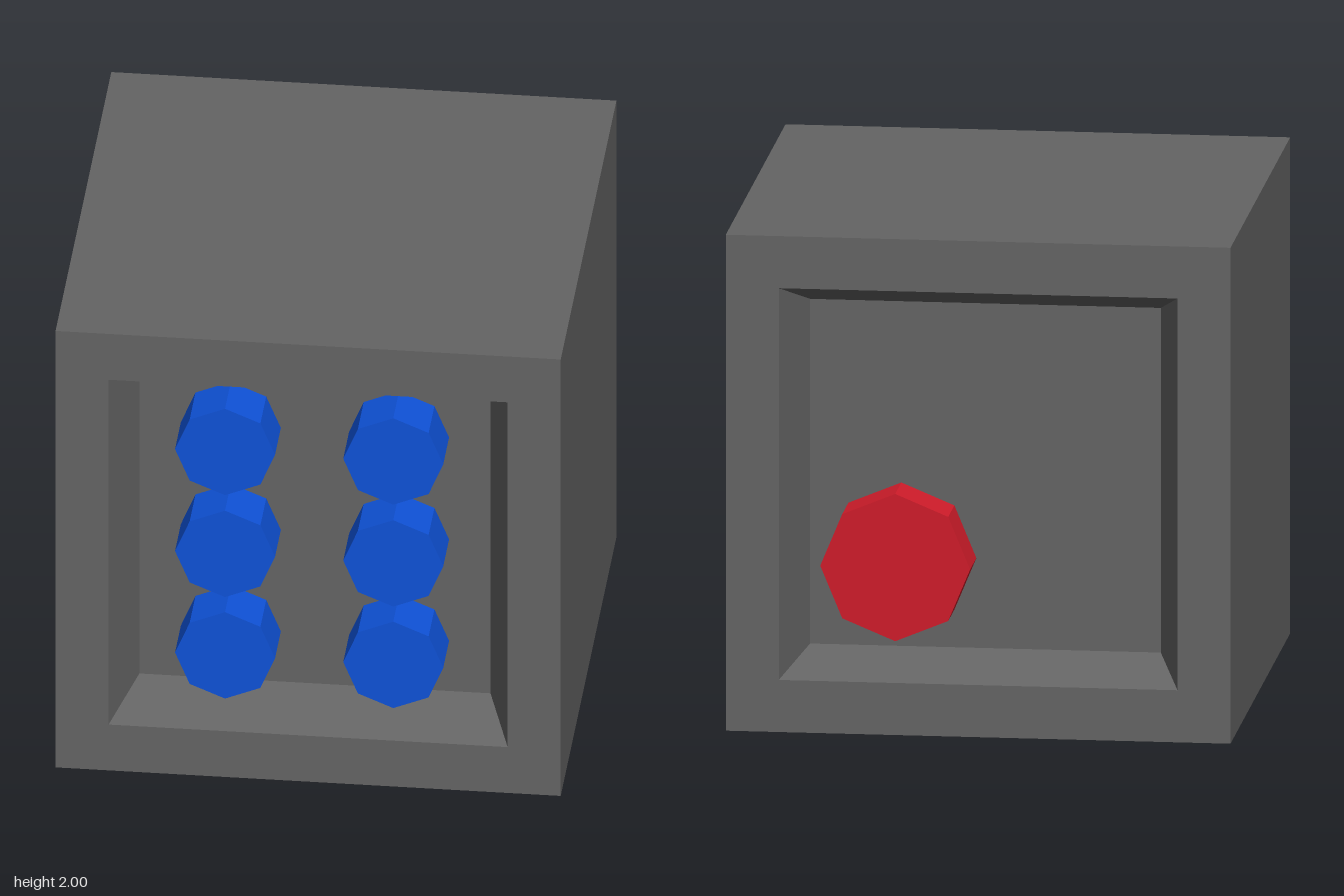
import * as THREE from 'three';

const FLOOR = 0.755; // distance of the recess floors from the centre
const FACE = 0.963;  // distance of the button faces from the centre

const paint = (color) => new THREE.MeshStandardMaterial({ color, flatShading: true });

// Square-section solid along z: each point is [half width, z], listed from back to front
function squareLoft(points) {
  const profile = points.map(([half, z]) => new THREE.Vector2(half * Math.SQRT2, z));
  return new THREE.LatheGeometry(profile, 4, Math.PI / 4).rotateX(Math.PI / 2);
}

// Octagonal button standing on a recess floor; side is 1 for front, -1 for back
function makeButton(name, radius, x, y, side, material) {
  const geometry = new THREE.CylinderGeometry(radius, radius, FACE - FLOOR, 8).rotateX(Math.PI / 2);
  const button = new THREE.Mesh(geometry, material);
  button.name = name;
  button.position.set(x, y, side * (FACE + FLOOR) / 2);
  return button;
}

export function createModel() {
  const model = new THREE.Group();
  model.name = 'buttonCube';

  // Cube body with a tapered square recess in the front and the back
  const body = new THREE.Mesh(squareLoft([
    [0, -FLOOR], [0.695, -FLOOR], [0.79, -1], [1, -1],
    [1, 1], [0.79, 1], [0.695, FLOOR], [0, FLOOR],
  ]), paint(0x646464));
  body.name = 'body';
  body.position.y = 1;
  model.add(body);

  // Two columns of three blue buttons on the front
  const blue = paint(0x0f52d8);
  const frontButtons = new THREE.Group();
  frontButtons.name = 'frontButtons';
  for (const x of [-0.333, 0.333]) {
    for (const y of [0.535, 1, 1.467]) {
      frontButtons.add(makeButton('frontButton', 0.198, x, y, 1, blue));
    }
  }
  model.add(frontButtons);

  // Single large red button on the back
  model.add(makeButton('backButton', 0.297, 0.333, 0.667, -1, paint(0xd01c2a)));

  return model;
}
